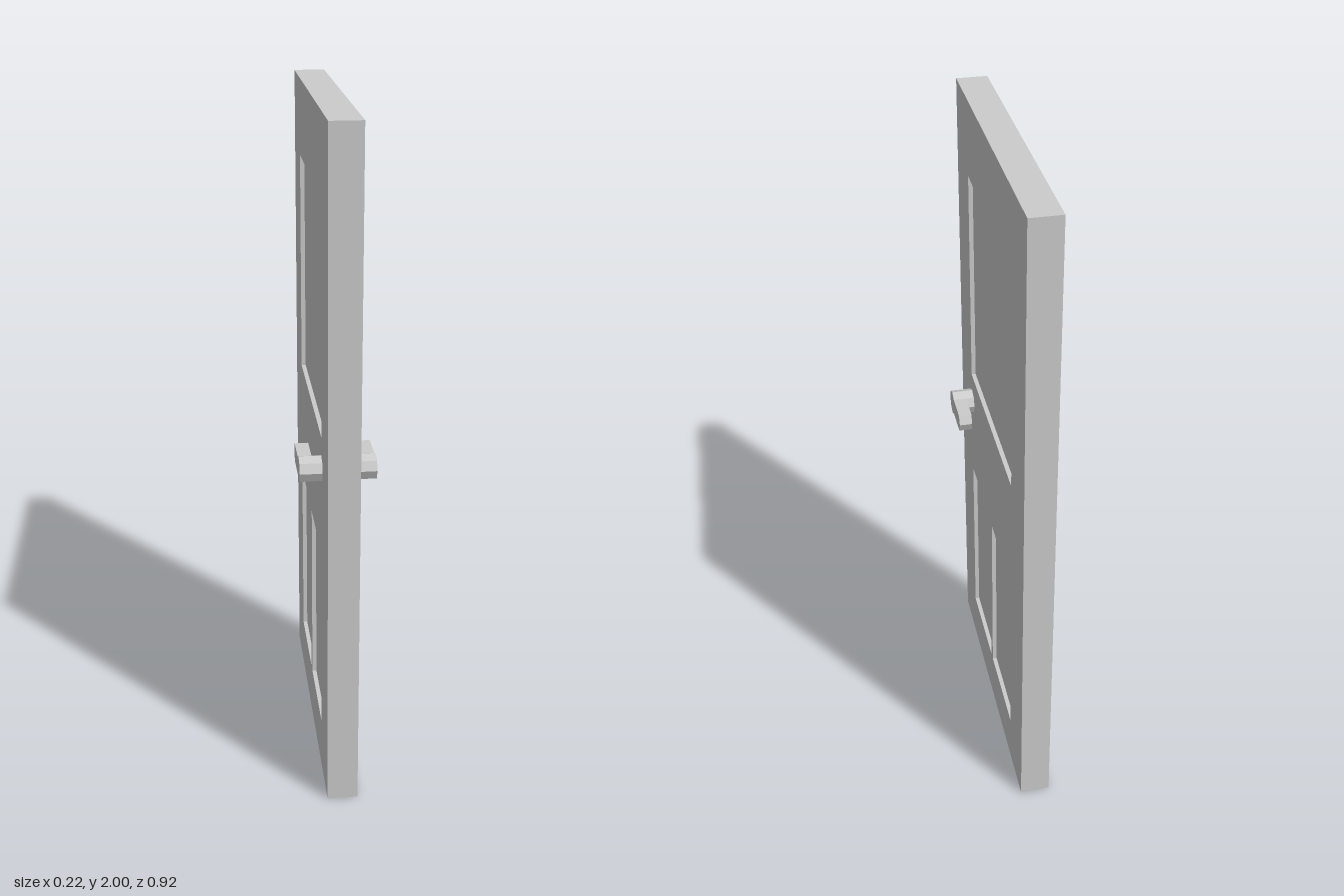
import * as THREE from 'three';

const material = new THREE.MeshStandardMaterial({ color: 0xcccccc, flatShading: true });

// Extrudes a side profile of [z, y] points along x, from x0 to x1
function sideExtrude(name, points, x0, x1, holes = []) {
  const toVectors = (list) => list.map(([z, y]) => new THREE.Vector2(-z, y));
  const shape = new THREE.Shape(toVectors(points));
  holes.forEach((hole) => shape.holes.push(new THREE.Path(toVectors(hole))));
  const geometry = new THREE.ExtrudeGeometry(shape, { depth: x1 - x0, bevelEnabled: false });
  geometry.rotateY(Math.PI / 2).translate(x0, 0, 0);
  const mesh = new THREE.Mesh(geometry, material);
  mesh.name = name;
  return mesh;
}

const rect = (z0, z1, y0, y1) => [[z1, y0], [z0, y0], [z0, y1], [z1, y1]];

export function createModel() {
  const door = new THREE.Group();
  door.name = 'door';
  const half = 0.045, recess = 0.013;

  // Frame with three openings, each filled by a thinner panel
  const openings = {
    upperPanel: rect(-0.295, 0.295, 1.106, 1.774),
    lowerPanelFront: rect(0.0125, 0.295, 0.159, 0.739),
    lowerPanelBack: rect(-0.295, -0.0125, 0.159, 0.739),
  };
  door.add(sideExtrude('doorFrame', rect(-0.458, 0.458, 0, 2), -half, half, Object.values(openings)));
  for (const [name, outline] of Object.entries(openings)) {
    door.add(sideExtrude(name, outline, -half + recess, half - recess));
  }

  // Octagonal hub with a lever that continues its back facets
  const cz = 0.2915, cy = 1.011, r = 0.0385, reach = 0.092;
  const hub = [], grip = [];
  for (let i = 0; i < 8; i++) {
    const a = (i * Math.PI) / 4;
    const z = cz - r * Math.cos(a), y = cy + r * Math.sin(a);
    hub.push([z, y]);
    if (i === 7) grip.push([z, y]);
    if (i === 0 || i === 1 || i === 7) grip.push([z - reach, y]);
    if (i === 1) grip.push([z, y]);
    if (i > 1 && i < 7) grip.push([z, y]);
  }

  // One handle on each face of the door
  for (const [side, sign] of [['left', 1], ['right', -1]]) {
    const handle = new THREE.Group();
    handle.name = `${side}Handle`;
    const span = (a, b) => [sign * a, sign * b].sort((p, q) => p - q);
    handle.add(sideExtrude('handleStem', hub, ...span(half, 0.07)));
    handle.add(sideExtrude('handleLever', grip, ...span(0.07, 0.109)));
    door.add(handle);
  }
  return door;
}
